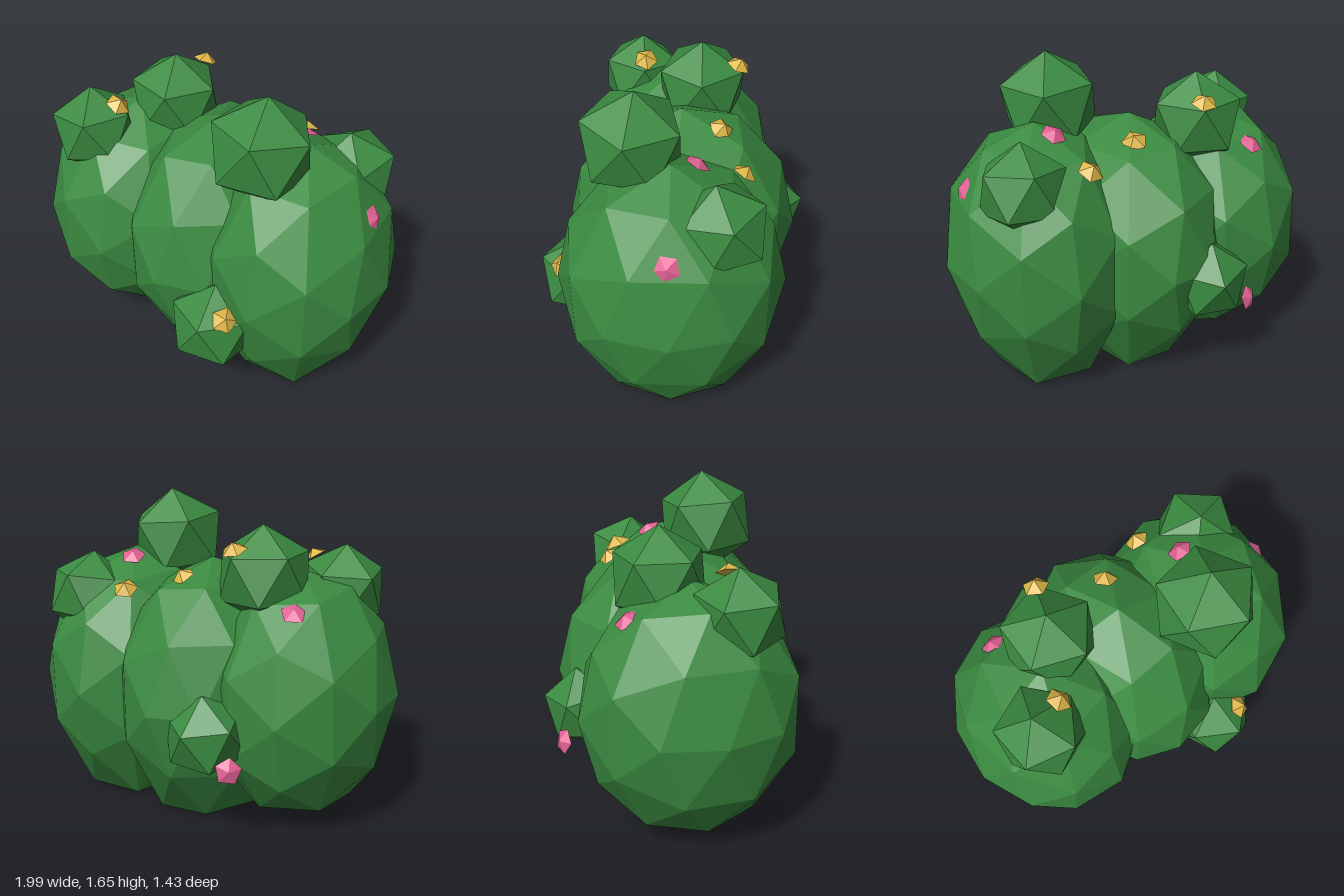
import * as THREE from 'three';

const green = new THREE.MeshStandardMaterial({ color: 0x3a8a40 });
green.name = 'leafGreen';
const pink = new THREE.MeshStandardMaterial({ color: 0xe06092 });
pink.name = 'flowerPink';
const yellow = new THREE.MeshStandardMaterial({ color: 0xe0b848 });
yellow.name = 'flowerYellow';

// Orthonormal frame whose y axis is "up" and whose z axis leans towards "ring"
function frame(up, ring) {
  const y = new THREE.Vector3(...up).normalize();
  const z = new THREE.Vector3(...ring);
  z.addScaledVector(y, -z.dot(y)).normalize();
  return new THREE.Matrix4().makeBasis(new THREE.Vector3().crossVectors(y, z), y, z);
}

// Icosahedron standing on a corner, with one upper ring corner towards +z
function cornerUp() {
  const t = (1 + Math.sqrt(5)) / 2;
  const turn = frame([1, t, 0], [-1, t, 0]);
  return new THREE.IcosahedronGeometry(1, 0).applyMatrix4(turn.invert());
}

// Large faceted bush body, flattened where it meets the ground
function body(name, center, radii, turn, tilt) {
  const geo = new THREE.IcosahedronGeometry(1, 1);
  geo.rotateY(turn).rotateZ(tilt).scale(...radii).translate(...center);
  const p = geo.attributes.position;
  for (let i = 0; i < p.count; i++) if (p.getY(i) < 0.1) p.setY(i, 0);
  geo.computeVertexNormals();
  const mesh = new THREE.Mesh(geo, green);
  mesh.name = name;
  return mesh;
}

// Small leaf clump
function clump(name, center, radius, up, ring) {
  const geo = cornerUp().scale(radius, radius, radius);
  geo.applyMatrix4(frame(up, ring)).translate(...center);
  geo.computeVertexNormals();
  const mesh = new THREE.Mesh(geo, green);
  mesh.name = name;
  return mesh;
}

// Shallow five-sided blossom facing along its normal
function flower(name, material, height, center, normal) {
  const geo = new THREE.ConeGeometry(0.067, height, 5).toNonIndexed();
  geo.applyMatrix4(frame(normal, [0.1, 0.9, 0.42])).translate(...center);
  geo.computeVertexNormals();
  const mesh = new THREE.Mesh(geo, material);
  mesh.name = name;
  return mesh;
}

export function createModel() {
  const bush = new THREE.Group();
  bush.name = 'floweringBush';

  // Three main bodies
  bush.add(
    body('rightBody', [-0.5, 0.66, 0], [0.5, 0.66, 0.56], 0.2, -0.06),
    body('middleBody', [0, 0.65, -0.03], [0.48, 0.69, 0.62], -1.1, 0),
    body('leftBody', [0.5, 0.65, 0.01], [0.5, 0.7, 0.58], 0, 0),
  );

  // Leaf clumps
  bush.add(
    clump('topClump', [0.35, 1.38, 0.2], 0.275, [0.06, 1, -0.08], [0.2, 0, 1]),
    clump('backTopClump', [-0.34, 1.29, -0.13], 0.255, [0.03, 1, 0], [1, 0, 0]),
    clump('rightClump', [-0.63, 1.19, 0.21], 0.235, [-0.08, 1, -0.05], [1, 0, -0.1]),
    clump('leftClump', [0.65, 1.11, -0.23], 0.235, [-0.05, 1, 0.15], [1, 0, -0.3]),
    clump('frontClump', [0.27, 0.465, 0.5], 0.24, [0, 1, -0.05], [0.12, 0, 1]),
    clump('backClump', [-0.22, 0.56, -0.51], 0.22, [0, 1, -0.2], [0.1, 0, -1]),
  );

  // Blossoms
  const blossoms = [
    [yellow, [-0.48, 1.37, 0.18], [0.5, 0.8, 0]],
    [yellow, [0.39, 0.62, 0.6], [0.45, 0.75, 0.4]],
    [yellow, [-0.27, 1.46, -0.33], [0.1, 0.9, -0.35]],
    [yellow, [0.07, 1.28, -0.24], [0.3, 0.85, -0.4]],
    [yellow, [0.34, 1.21, -0.35], [-0.2, 0.8, -0.5]],
    [pink, [-0.58, 1.18, -0.31], [-0.2, 0.8, -0.5]],
    [pink, [0.44, 1.33, -0.12], [-0.2, 0.85, -0.45]],
    [pink, [0.885, 1.06, 0.02], [0.88, 0.46, 0.05]],
    [pink, [-0.41, 0.46, -0.64], [-0.5, 0.3, -0.8]],
  ];
  blossoms.forEach(([mat, pos, normal], i) =>
    bush.add(flower('flower' + (i + 1), mat, mat === yellow ? 0.045 : 0.03, pos, normal)));

  return bush;
}
